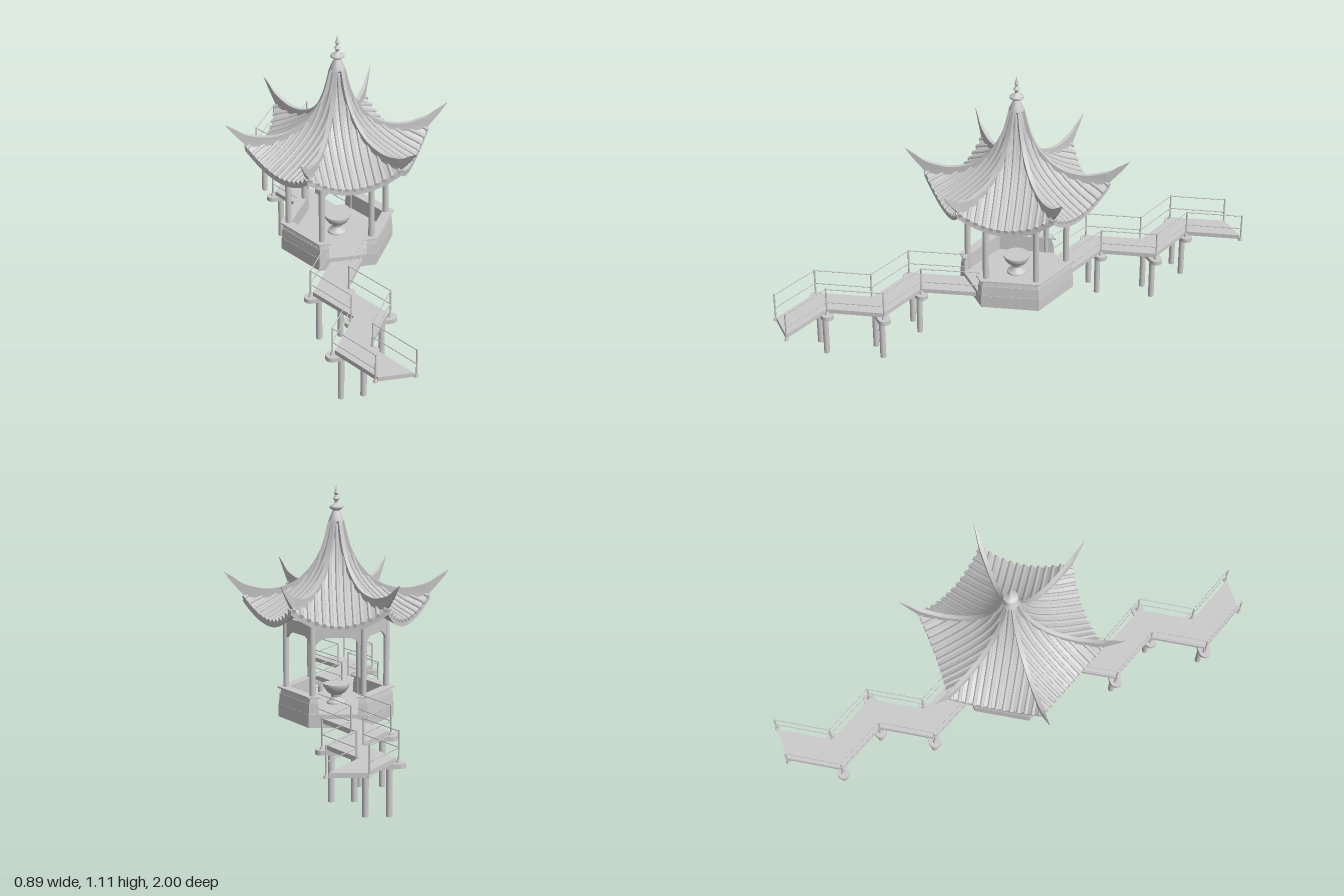
import * as THREE from 'three';
import { toCreasedNormals } from 'three/addons/utils/BufferGeometryUtils.js';

const mat = new THREE.MeshStandardMaterial({ color: 0xcccccc });
const SIXTH = Math.PI / 3;
const C30 = Math.cos(Math.PI / 6);
const v3 = (x, y, z) => new THREE.Vector3(x, y, z);

function add(parent, name, geometry, x = 0, y = 0, z = 0) {
  const mesh = new THREE.Mesh(geometry, mat);
  mesh.name = name;
  mesh.position.set(x, y, z);
  parent.add(mesh);
  return mesh;
}

function group(parent, name, rotY = 0) {
  const g = new THREE.Group();
  g.name = name;
  g.rotation.y = rotY;
  parent.add(g);
  return g;
}

// Round bar between two points
function bar(parent, name, a, b, r, sides = 6) {
  const mesh = add(parent, name, new THREE.CylinderGeometry(r, r, a.distanceTo(b), sides));
  mesh.position.copy(a).lerp(b, 0.5);
  mesh.quaternion.setFromUnitVectors(v3(0, 1, 0), b.clone().sub(a).normalize());
}

const lathe = (points, sides) => toCreasedNormals(
  new THREE.LatheGeometry(points.map(p => new THREE.Vector2(...p)), sides), 0.6);

// Roof curves: radius and height along the middle of a face and along a ridge
const curve = pts => new THREE.CatmullRomCurve3(pts.map(([r, y]) => v3(r, y, 0)));
const midCurve = curve([[0.018, 0.96], [0.05, 0.835], [0.1, 0.745], [0.17, 0.68], [0.25, 0.63], [0.305, 0.602]]);
const hipCurve = curve([[0.022, 0.96], [0.06, 0.845], [0.115, 0.755], [0.19, 0.7], [0.28, 0.672], [0.37, 0.677]]);

// Point on a roof face: s runs from peak to eave, t from ridge (-1) to ridge (1)
function roofPoint(s, t) {
  const m = midCurve.getPoint(s), h = hipCurve.getPoint(s), k = t * t;
  return v3(t * h.x / 2, m.y + (h.y - m.y) * k, m.x + (h.x * C30 - m.x) * k);
}

function roofShell() {
  const g = new THREE.BoxGeometry(2, 1, 1, 18, 1, 16);
  const p = g.attributes.position;
  for (let i = 0; i < p.count; i++) {
    const q = roofPoint(p.getZ(i) + 0.5, p.getX(i));
    p.setXYZ(i, q.x, q.y - (p.getY(i) < 0 ? 0.025 : 0), q.z);
  }
  g.computeVertexNormals();
  return g;
}

// Tile rib running straight down a face at sideways offset x
function tileRib(parent, x) {
  let s0 = 0;
  while (s0 < 0.98 && hipCurve.getPoint(s0).x / 2 < Math.abs(x)) s0 += 0.01;
  const pts = [];
  for (let i = 0; i <= 12; i++) {
    const s = s0 + (1 - s0) * i / 12;
    const t = x / (hipCurve.getPoint(s).x / 2);
    pts.push(roofPoint(s, THREE.MathUtils.clamp(t, -1, 1)));
  }
  const path = new THREE.CatmullRomCurve3(pts);
  add(parent, 'tileRib', new THREE.TubeGeometry(path, 14, 0.008, 7));
  const end = pts[12];
  bar(parent, 'tileEnd', v3(end.x, end.y, end.z - 0.004), v3(end.x, end.y - 0.002, end.z + 0.004), 0.009, 8);
}

// Curved ridge with an upswept horn
function ridgeGeometry() {
  const v2 = pts => pts.map(p => new THREE.Vector2(...p));
  const shape = new THREE.Shape();
  shape.moveTo(0.005, 0.98);
  shape.lineTo(0.03, 0.974);
  shape.splineThru(v2([[0.06, 0.862], [0.11, 0.778], [0.18, 0.722], [0.27, 0.702], [0.36, 0.72], [0.405, 0.747], [0.446, 0.773]]));
  shape.splineThru(v2([[0.42, 0.737], [0.395, 0.708], [0.365, 0.675]]));
  shape.splineThru(v2([[0.28, 0.66], [0.19, 0.685], [0.11, 0.745], [0.055, 0.84], [0.005, 0.95]]));
  const g = new THREE.ExtrudeGeometry(shape, { depth: 0.016, bevelEnabled: false, curveSegments: 24 });
  g.translate(0, 0, -0.008);
  // Thin the horn towards its tip
  const p = g.attributes.position;
  for (let i = 0; i < p.count; i++) {
    const k = THREE.MathUtils.clamp((0.45 - p.getX(i)) / 0.1, 0.2, 1);
    p.setZ(i, p.getZ(i) * k);
  }
  return toCreasedNormals(g, 0.6);
}

// Bench layer clipped to the hexagon; a0 and a1 are outer distances at bottom and top
function benchLayer(y0, a0, y1, a1, inner) {
  const g = new THREE.BoxGeometry(1, 1, 1);
  const p = g.attributes.position;
  for (let i = 0; i < p.count; i++) {
    const top = p.getY(i) > 0, a = top ? a1 : a0;
    const z = p.getZ(i) > 0 ? a : inner;
    p.setXYZ(i, Math.sign(p.getX(i)) * (2 * a - z) / Math.sqrt(3), top ? y1 : y0, z);
  }
  g.computeVertexNormals();
  return g;
}

// Panel between two columns with a stepped arch below
function friezeGeometry() {
  const s = new THREE.Shape();
  [[-0.1, 0.585], [-0.1, 0.503], [-0.086, 0.507], [-0.07, 0.524], [-0.05, 0.534], [0.05, 0.534],
    [0.07, 0.524], [0.086, 0.507], [0.1, 0.503], [0.1, 0.585]].forEach(([x, y], i) => i ? s.lineTo(x, y) : s.moveTo(x, y));
  return new THREE.ExtrudeGeometry(s, { depth: 0.008, bevelEnabled: false });
}

function buildPavilion(root) {
  const pavilion = group(root, 'pavilion');
  const base = add(pavilion, 'hexagonalBase', toCreasedNormals(new THREE.CylinderGeometry(0.231, 0.231, 0.053, 6), 0.3), 0, 0.2085, 0);
  base.rotation.y = Math.PI / 6 * 3;

  // Round table in the middle
  add(pavilion, 'table', lathe([[0, 0.232], [0.04, 0.232], [0.038, 0.242], [0.026, 0.25], [0.02, 0.262], [0.022, 0.272],
    [0.04, 0.285], [0.05, 0.3], [0.053, 0.308], [0.053, 0.316], [0, 0.316]], 20));

  const ridge = ridgeGeometry(), shell = roofShell(), frieze = friezeGeometry();
  for (let k = 0; k < 6; k++) {
    const a = k * SIXTH;
    add(pavilion, 'column', new THREE.CylinderGeometry(0.012, 0.012, 0.42, 14), 0.2 * Math.cos(a), 0.44, 0.2 * Math.sin(a));
    add(pavilion, 'roofRidge', ridge).rotation.y = a;

    const side = group(pavilion, 'pavilionSide', a);
    add(side, 'roofFace', shell);
    for (let i = -6; i <= 6; i++) tileRib(side, i * 0.029);
    add(side, 'friezePanel', frieze, 0, 0, 0.169);
    add(side, 'friezeStrut', new THREE.BoxGeometry(0.008, 0.02, 0.008), 0, 0.592, 0.173);
    add(side, 'topBeam', new THREE.BoxGeometry(0.2, 0.035, 0.012), 0, 0.617, 0.173);

    // Benches on the four sides without a bridge
    if (k % 3 !== 0) {
      add(side, 'benchBase', benchLayer(0.23, 0.199, 0.277, 0.196, 0.165));
      add(side, 'benchBack', benchLayer(0.277, 0.194, 0.3, 0.19, 0.165));
      add(side, 'benchTop', benchLayer(0.299, 0.203, 0.305, 0.203, 0.162));
    }
  }

  add(pavilion, 'finial', lathe([[0, 0.968], [0.031, 0.97], [0.027, 0.982], [0.013, 1.012], [0.019, 1.016], [0.028, 1.022],
    [0.028, 1.028], [0.014, 1.034], [0.006, 1.043], [0.007, 1.05], [0.014, 1.058], [0.007, 1.066], [0.005, 1.072],
    [0.009, 1.08], [0.005, 1.09], [0, 1.113]], 14));
}

// Zigzag bridge; dir is 1 for the front and -1 for the back
function buildBridge(root, dir) {
  const bridge = group(root, dir > 0 ? 'frontBridge' : 'backBridge');
  const nodes = [[0, 0.19], [-0.116, 0.396], [0, 0.594], [-0.116, 0.792], [0, 0.99]].map(([x, z]) => ({ x, z: z * dir }));

  // Deck
  const deck = new THREE.Shape();
  nodes.forEach((n, i) => i ? deck.lineTo(n.x - 0.066, n.z) : deck.moveTo(n.x - 0.066, n.z));
  [...nodes].reverse().forEach(n => deck.lineTo(n.x + 0.066, n.z));
  const deckGeo = new THREE.ExtrudeGeometry(deck, { depth: 0.018, bevelEnabled: false });
  deckGeo.rotateX(Math.PI / 2);
  add(bridge, 'deck', deckGeo, 0, 0.218, 0);

  // Round-ended pile cap
  const cap = new THREE.Shape();
  cap.absarc(0.077, 0, 0.025, -Math.PI / 2, Math.PI / 2);
  cap.absarc(-0.077, 0, 0.025, Math.PI / 2, Math.PI * 1.5);
  const capGeo = new THREE.ExtrudeGeometry(cap, { depth: 0.018, bevelEnabled: false });
  capGeo.rotateX(Math.PI / 2);

  nodes.forEach((n, i) => {
    const last = i === nodes.length - 1;
    if (i > 0 && !last) add(bridge, 'pileCap', capGeo, n.x, 0.2, n.z);
    for (const s of [-1, 1]) {
      const x = n.x + s * 0.076;
      if (i > 0 && !last) add(bridge, 'pile', new THREE.CylinderGeometry(0.012, 0.012, 0.184, 14), n.x + s * 0.043, 0.092, n.z);
      if (i > 0) {
        bar(bridge, 'railPost', v3(x, 0.2, n.z), v3(x, 0.32, n.z), 0.0035, 8);
        add(bridge, 'postFoot', new THREE.CylinderGeometry(0.006, 0.01, 0.012, 8), x, 0.206, n.z);
      }
      // Rails to the next node
      if (!last) {
        const m = nodes[i + 1];
        for (const y of [0.256, 0.316]) bar(bridge, 'rail', v3(x, y, n.z), v3(m.x + s * 0.076, y, m.z), 0.002);
      }
    }
  });
}

export function createModel() {
  const root = new THREE.Group();
  root.name = 'pavilionWithBridges';
  buildPavilion(root);
  buildBridge(root, 1);
  buildBridge(root, -1);
  return root;
}
